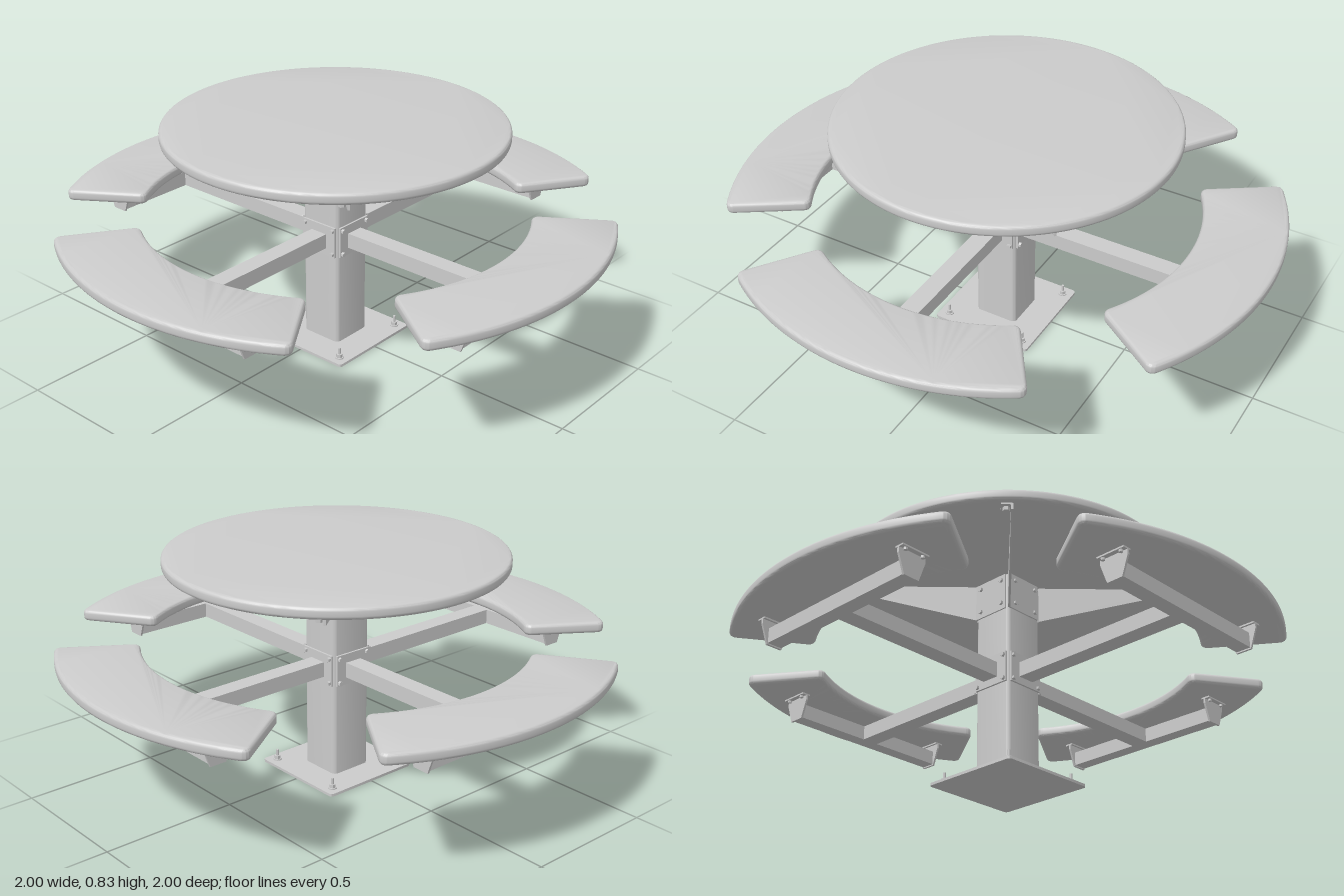
import * as THREE from 'three';
import { toCreasedNormals } from 'three/addons/utils/BufferGeometryUtils.js';

const material = new THREE.MeshStandardMaterial({ color: 0xcccccc });

function add(parent, name, geometry, x = 0, y = 0, z = 0) {
  const mesh = new THREE.Mesh(geometry, material);
  mesh.name = name;
  mesh.position.set(x, y, z);
  parent.add(mesh);
  return mesh;
}

const box = (parent, name, w, h, d, x, y, z) =>
  add(parent, name, new THREE.BoxGeometry(w, h, d), x, y, z);

// Hexagonal bolt head with its axis along y or z
function bolt(parent, x, y, z, axis = 'z', radius = 0.009, length = 0.012) {
  const mesh = add(parent, 'bolt', new THREE.CylinderGeometry(radius, radius, length, 6).toNonIndexed(), x, y, z);
  mesh.geometry = toCreasedNormals(mesh.geometry, 0.6);
  if (axis === 'z') mesh.rotation.x = Math.PI / 2;
}

// Lay an outline flat and thicken it upward from y = 0, with rounded edges
function slab(shape, height, bevel, curveSegments) {
  const geometry = new THREE.ExtrudeGeometry(shape, {
    depth: height - 2 * bevel, bevelEnabled: bevel > 0, bevelSize: bevel,
    bevelThickness: bevel, bevelOffset: -bevel, bevelSegments: 4, curveSegments,
  });
  geometry.translate(0, 0, bevel);
  geometry.rotateX(-Math.PI / 2);
  return toCreasedNormals(geometry, 0.6);
}

function roundedSquare(size, r) {
  const h = size / 2, k = h - r, s = new THREE.Shape();
  s.absarc(k, k, r, 0, Math.PI / 2);
  s.absarc(-k, k, r, Math.PI / 2, Math.PI);
  s.absarc(-k, -k, r, Math.PI, Math.PI * 1.5);
  s.absarc(k, -k, r, Math.PI * 1.5, Math.PI * 2);
  s.closePath();
  return s;
}

// Ring sector with softened corners, centred on the +z side once laid flat
function seatShape(inner, outer, half, c) {
  const a0 = -Math.PI / 2 - half, a1 = -Math.PI / 2 + half;
  const p = (r, a) => [r * Math.cos(a), r * Math.sin(a)];
  const s = new THREE.Shape();
  s.moveTo(...p(inner + c, a0));
  s.lineTo(...p(outer - c, a0));
  s.quadraticCurveTo(...p(outer, a0), ...p(outer, a0 + c / outer));
  s.absarc(0, 0, outer, a0 + c / outer, a1 - c / outer, false);
  s.quadraticCurveTo(...p(outer, a1), ...p(outer - c, a1));
  s.lineTo(...p(inner + c, a1));
  s.quadraticCurveTo(...p(inner, a1), ...p(inner, a1 - c / inner));
  s.absarc(0, 0, inner, a1 - c / inner, a0 + c / inner, true);
  s.quadraticCurveTo(...p(inner, a0), ...p(inner + c, a0));
  return s;
}

// Upright plate from an outline, centred on its thickness
function plate(points, thickness) {
  const shape = new THREE.Shape(points.map(([x, y]) => new THREE.Vector2(x, y)));
  return new THREE.ExtrudeGeometry(shape, { depth: thickness, bevelEnabled: false })
    .translate(0, 0, -thickness / 2);
}

// Seat, its arm and its supports, on the +z side
function seatUnit() {
  const g = new THREE.Group();
  g.name = 'seatUnit';
  add(g, 'seat', slab(seatShape(0.7, 1, 0.592, 0.03), 0.042, 0.013, 24), 0, 0.474, 0);
  box(g, 'arm', 0.068, 0.056, 0.68, 0, 0.413, 0.422);
  box(g, 'crossbar', 0.68, 0.056, 0.056, 0, 0.413, 0.788);

  // Mounting plate on the column
  box(g, 'armPlate', 0.15, 0.116, 0.008, 0, 0.416, 0.086);
  for (const x of [-0.064, 0.064])
    for (const y of [0.37, 0.461]) bolt(g, x, y, 0.094);

  // Folded brackets at both ends of the crossbar
  for (const side of [-1, 1]) {
    const bracket = new THREE.Group();
    bracket.name = 'seatBracket';
    const web = add(bracket, 'bracketWeb',
      plate([[-0.03, 0.38], [0.03, 0.38], [0.055, 0.45], [0.055, 0.474], [-0.055, 0.474], [-0.055, 0.45]], 0.008),
      side * 0.344, 0, 0.788);
    web.rotation.y = Math.PI / 2;
    box(bracket, 'bracketFlange', 0.034, 0.006, 0.11, side * 0.349, 0.471, 0.788);
    for (const z of [0.752, 0.824]) bolt(bracket, side * 0.357, 0.465, z, 'y', 0.007);
    g.add(bracket);
  }
  return g;
}

// Bent top support: bolted to the +z column face, fin folded out at the corner
function topSupport() {
  const g = new THREE.Group();
  g.name = 'topSupport';
  box(g, 'supportPlate', 0.15, 0.14, 0.006, -0.005, 0.72, 0.085);
  for (const x of [-0.052, 0.052])
    for (const y of [0.675, 0.768]) bolt(g, x, y, 0.091);

  const fin = new THREE.Group();
  fin.name = 'supportFin';
  fin.position.set(-0.08, 0, 0.084);
  fin.rotation.y = -Math.PI * 0.75;
  add(fin, 'finWeb', plate([[0, 0.65], [0.475, 0.765], [0.475, 0.79], [0, 0.79]], 0.008));
  box(fin, 'finFlange', 0.05, 0.006, 0.04, 0.45, 0.787, 0.018);
  bolt(fin, 0.455, 0.778, 0.02, 'y', 0.012, 0.016);
  g.add(fin);
  return g;
}

export function createModel() {
  const model = new THREE.Group();
  model.name = 'roundPicnicTable';

  // Round top with softened rim
  const disc = new THREE.Shape().absarc(0, 0, 0.615, 0, Math.PI * 2);
  add(model, 'tableTop', slab(disc, 0.042, 0.013, 64), 0, 0.79, 0);

  // Square post on a ground plate
  add(model, 'column', slab(roundedSquare(0.165, 0.018), 0.782, 0, 6), 0, 0.009, 0);
  add(model, 'basePlate', slab(roundedSquare(0.39, 0.012), 0.01, 0, 4));

  // Anchor studs with washer, nut and rod
  for (const x of [-0.157, 0.157])
    for (const z of [-0.157, 0.157]) {
      const anchor = new THREE.Group();
      anchor.name = 'anchor';
      anchor.position.set(x, 0, z);
      add(anchor, 'washer', new THREE.CylinderGeometry(0.016, 0.016, 0.004, 16), 0, 0.012, 0);
      bolt(anchor, 0, 0.02, 0, 'y', 0.012, 0.013);
      add(anchor, 'rod', new THREE.CylinderGeometry(0.005, 0.005, 0.04, 10), 0, 0.03, 0);
      model.add(anchor);
    }

  // Four seats and four top supports around the post
  for (let i = 0; i < 4; i++)
    for (const part of [seatUnit(), topSupport()]) {
      part.rotation.y = i * Math.PI / 2;
      model.add(part);
    }
  return model;
}
